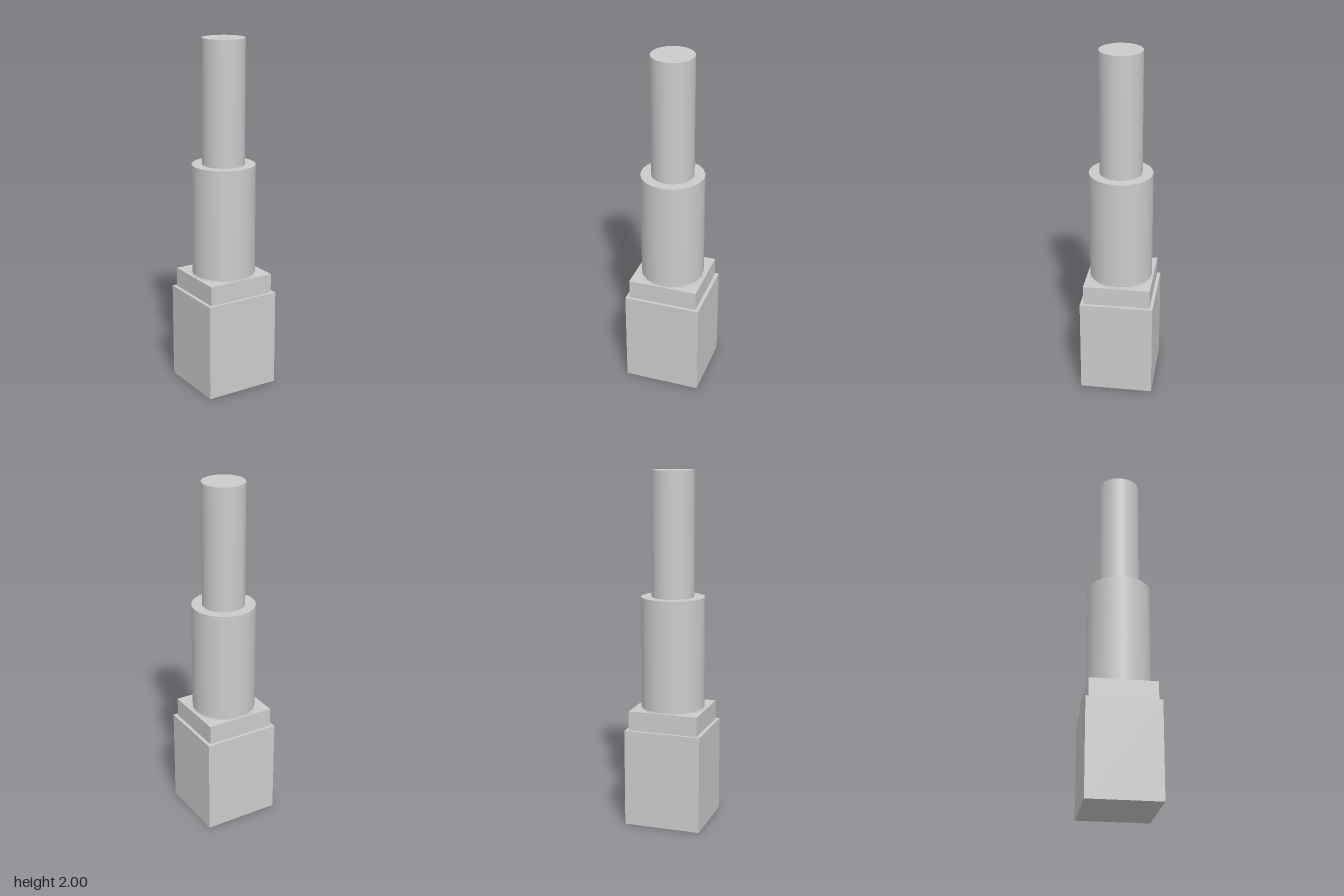
import * as THREE from 'three';

export function createModel() {
  const group = new THREE.Group();
  const material = new THREE.MeshStandardMaterial({ color: 0xcccccc });

  // Adds a part spanning from y0 to y1
  function add(name, geometry, y0, y1) {
    const mesh = new THREE.Mesh(geometry, material);
    mesh.name = name;
    mesh.position.y = (y0 + y1) / 2;
    group.add(mesh);
  }
  const block = (name, width, depth, y0, y1) =>
    add(name, new THREE.BoxGeometry(width, y1 - y0, depth), y0, y1);
  const cylinder = (name, radius, sides, y0, y1) =>
    add(name, new THREE.CylinderGeometry(radius, radius, y1 - y0, sides), y0, y1);

  // Square base with a stepped block on top
  block('base', 0.44, 0.416, 0, 0.556);
  block('plinth', 0.4, 0.38, 0.556, 0.667);

  // Thin seat ring, sleeve and shaft
  cylinder('seatRing', 0.189, 16, 0.66, 0.669);
  cylinder('sleeve', 0.18, 20, 0.66, 1.302);
  cylinder('shaft', 0.12, 20, 1.29, 2);

  return group;
}
